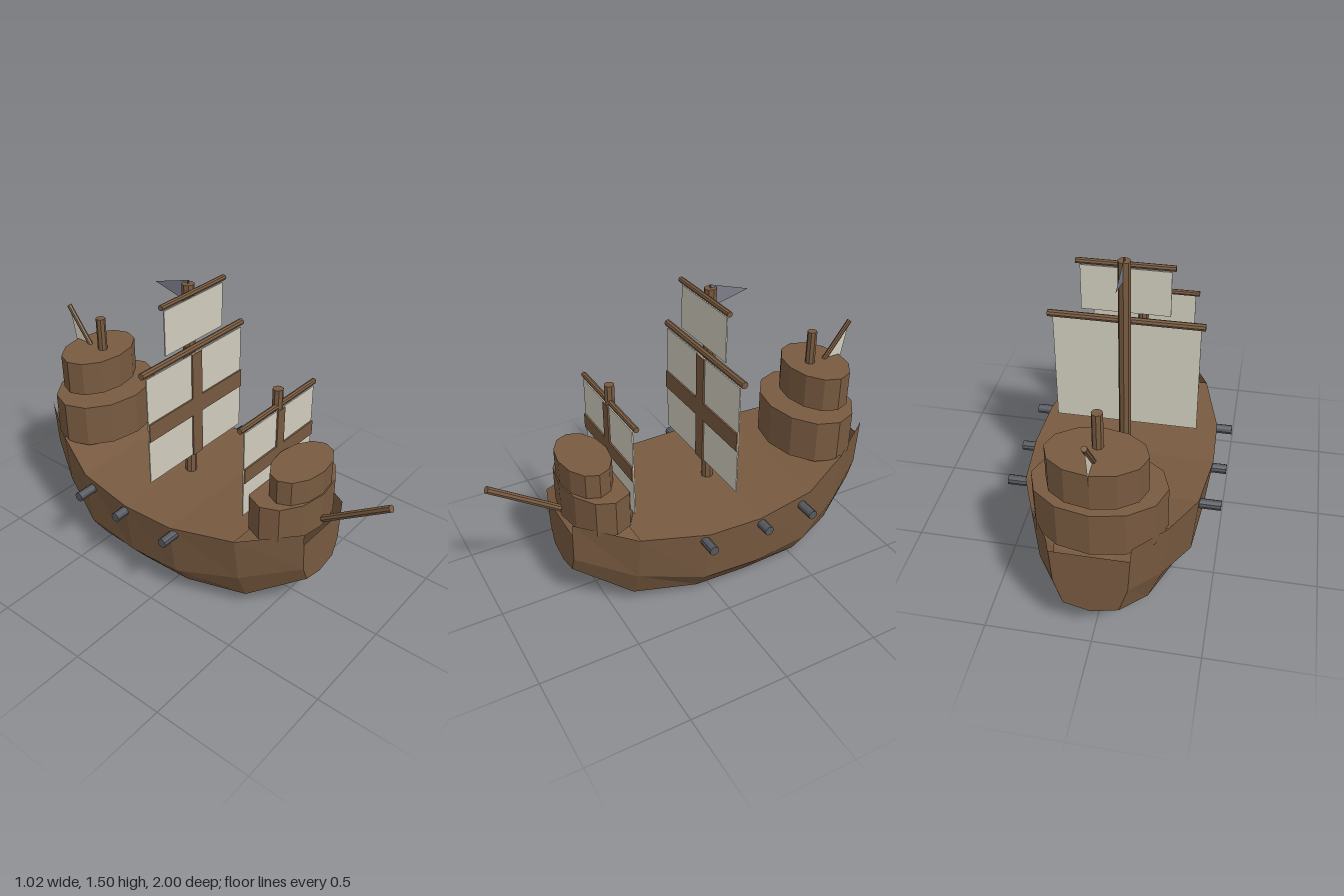
import * as THREE from 'three';

const mat = (color) => new THREE.MeshStandardMaterial({ color, flatShading: true, side: THREE.DoubleSide });

export function createModel() {
  const ship = new THREE.Group();
  const wood = mat(0x785a40), canvas = mat(0xd2cebf), iron = mat(0x55585e), cloth = mat(0x7c7e8a);

  const add = (name, geometry, material) => {
    const mesh = new THREE.Mesh(geometry, material);
    mesh.name = name;
    ship.add(mesh);
    return mesh;
  };

  // round pole between two points
  const pole = (name, a, b, r, material = wood, sides = 8) => {
    const from = new THREE.Vector3(...a), to = new THREE.Vector3(...b);
    const dir = to.clone().sub(from);
    const mesh = add(name, new THREE.CylinderGeometry(r, r, dir.length(), sides), material);
    mesh.position.copy(from).add(to).multiplyScalar(0.5);
    mesh.quaternion.setFromUnitVectors(new THREE.Vector3(0, 1, 0), dir.normalize());
    return mesh;
  };

  // panel in the xy plane, centred on x = 0
  const panel = (name, halfWidth, y0, y1, z, depth, material) => {
    const mesh = add(name, new THREE.BoxGeometry(halfWidth * 2, y1 - y0, depth), material);
    mesh.position.set(0, (y0 + y1) / 2, z);
  };

  // triangle in the yz plane
  const triangle = (name, points, material) => {
    const g = new THREE.BufferGeometry();
    g.setAttribute('position', new THREE.Float32BufferAttribute(points.flatMap(([y, z]) => [0, y, z]), 3));
    g.computeVertexNormals();
    add(name, g, material);
  };

  const surface = (name, quads) => {
    const pos = [];
    quads.forEach(([a, b, c, d]) => pos.push(...a, ...b, ...c, ...a, ...c, ...d));
    const g = new THREE.BufferGeometry();
    g.setAttribute('position', new THREE.Float32BufferAttribute(pos, 3));
    g.computeVertexNormals();
    add(name, g, wood);
  };

  // hull stations from bow to stern: z, then x,y from rail to keel
  const stations = [
    [0.66, [0.16, 0.535], [0.147, 0.32], [0.11, 0.235], [0, 0.21]],
    [0.40, [0.345, 0.475], [0.31, 0.23], [0.245, 0.08], [0, 0.045]],
    [0.08, [0.435, 0.45], [0.40, 0.16], [0.31, 0.04], [0, 0.005]],
    [-0.20, [0.445, 0.45], [0.41, 0.155], [0.315, 0.035], [0, 0]],
    [-0.51, [0.41, 0.475], [0.385, 0.165], [0.30, 0.035], [0, 0.005]],
    [-0.77, [0.305, 0.54], [0.285, 0.26], [0.22, 0.09], [0, 0.06]],
    [-0.985, [0.18, 0.615], [0.165, 0.36], [0.125, 0.225], [0, 0.19]],
  ];
  const rings = stations.map(([z, ...half]) => {
    const left = half.map(([x, y]) => [x, y, z]);
    const right = half.slice(0, 3).reverse().map(([x, y]) => [-x, y, z]);
    return [...left, ...right];
  });
  const planks = [], deck = [];
  for (let i = 0; i < rings.length - 1; i++) {
    const a = rings[i], b = rings[i + 1];
    for (let j = 0; j < 6; j++) planks.push([a[j], a[j + 1], b[j + 1], b[j]]);
    if (i > 0 && i < 5) deck.push([a[6], a[0], b[0], b[6]]);
  }
  surface('hull', planks);
  surface('deck', deck);

  // end walls, closed up to just below the rail
  const endWall = (name, r, top, flip) => {
    const t = (top - r[1][1]) / (r[0][1] - r[1][1]);
    const x = THREE.MathUtils.lerp(r[1][0], r[0][0], t), z = r[0][2];
    const quads = [
      [[-x, top, z], r[5], r[1], [x, top, z]],
      [r[5], r[4], r[2], r[1]],
      [r[4], r[3], r[2], r[2]],
    ];
    surface(name, flip ? quads.map((q) => [...q].reverse()) : quads);
  };
  endWall('bowWall', rings[0], 0.475, false);
  endWall('sternWall', rings[6], 0.54, true);

  // oval fore and aft castles
  const castle = (name, rx, rz, y0, y1, z) => {
    const mesh = add(name, new THREE.CylinderGeometry(1, 1, y1 - y0, 12), wood);
    mesh.scale.set(rx, 1, rz);
    mesh.position.set(0, (y0 + y1) / 2, z);
  };
  castle('foreCastleLower', 0.265, 0.17, 0.485, 0.67, 0.48);
  castle('foreCastleUpper', 0.195, 0.122, 0.67, 0.795, 0.522);
  castle('aftCastleLower', 0.3, 0.215, 0.525, 0.75, -0.745);
  castle('aftCastleUpper', 0.222, 0.153, 0.77, 0.95, -0.787);

  // masts and bowsprit
  pole('mainMast', [0, 0.44, -0.153], [0, 1.485, -0.153], 0.03);
  pole('foreMast', [0, 0.47, 0.37], [0, 1.125, 0.37], 0.025);
  pole('mizzenMast', [0, 0.95, -0.755], [0, 1.125, -0.755], 0.025);
  pole('bowsprit', [0, 0.53, 0.655], [0, 0.755, 0.99], 0.018);

  // square sails with their yards
  const squareSail = (name, halfWidth, y0, y1, z, yardHalf, yardY, yardZ, r) => {
    panel(name + 'Sail', halfWidth, y0, y1, z, 0.006, canvas);
    pole(name + 'Yard', [-yardHalf, yardY, yardZ], [yardHalf, yardY, yardZ], r);
  };
  squareSail('main', 0.345, 0.575, 1.145, -0.113, 0.365, 1.165, -0.123, 0.017);
  squareSail('top', 0.205, 1.205, 1.43, -0.12, 0.223, 1.45, -0.122, 0.014);
  squareSail('fore', 0.265, 0.575, 1.025, 0.385, 0.285, 1.04, 0.375, 0.014);

  // wide bands on the front of the two big sails
  panel('mainSailBandAcross', 0.345, 0.81, 0.905, -0.106, 0.008, wood);
  panel('mainSailBandUpright', 0.035, 0.575, 1.145, -0.106, 0.008, wood);
  panel('foreSailBandAcross', 0.265, 0.76, 0.835, 0.392, 0.008, wood);
  panel('foreSailBandUpright', 0.027, 0.575, 1.025, 0.392, 0.008, wood);

  // slanted aft spar with its triangular sail
  pole('aftSpar', [0, 0.76, -0.705], [0, 1.132, -0.987], 0.013);
  triangle('aftSail', [[1.125, -0.985], [0.76, -0.71], [0.75, -0.915]], canvas);

  // pennant
  pole('flagPole', [0, 1.47, -0.153], [0, 1.5, -0.153], 0.004);
  triangle('pennant', [[1.5, -0.155], [1.39, -0.165], [1.44, -0.355]], cloth);

  // cannons on both sides
  for (const side of [-1, 1])
    for (const z of [0.1, -0.205, -0.46])
      pole('cannon', [side * 0.36, 0.415, z], [side * 0.51, 0.415, z], 0.024, iron, 10);

  return ship;
}
